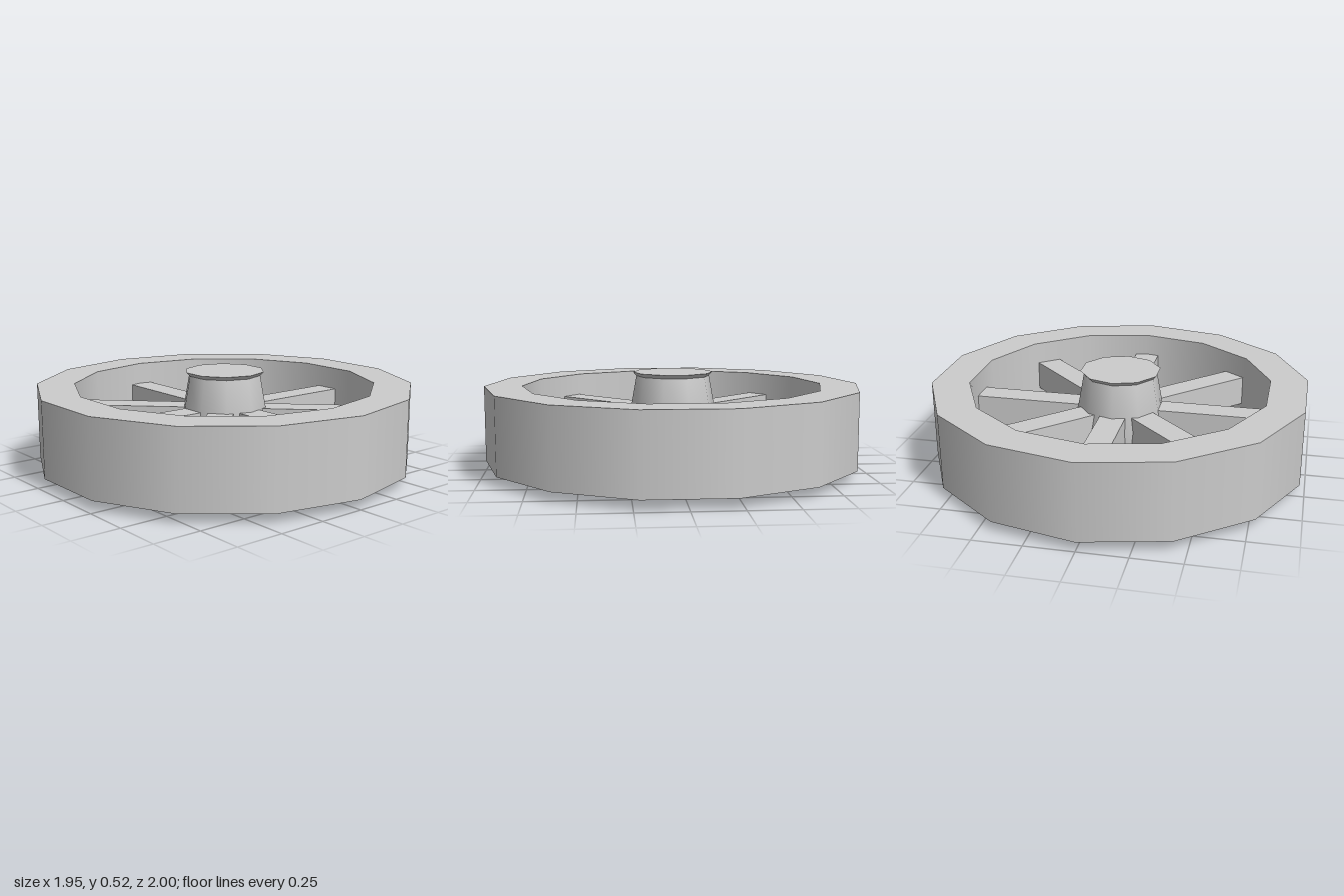
import * as THREE from 'three';

const material = new THREE.MeshStandardMaterial({ color: 0xcccccc, side: THREE.DoubleSide });

// Surface of revolution from [radius, height] pairs
function turned(name, sides, profile) {
  const points = profile.map(([r, y]) => new THREE.Vector2(r, y));
  const mesh = new THREE.Mesh(new THREE.LatheGeometry(points, sides), material);
  mesh.name = name;
  return mesh;
}

// Box without its underside, running outwards along +x
function spokeGeometry(start, end, bottom, top, width) {
  const geometry = new THREE.BoxGeometry(end - start, top - bottom, width);
  geometry.translate((start + end) / 2, (top + bottom) / 2, 0);
  const index = Array.from(geometry.index.array);
  index.splice(18, 6); // drop the bottom face
  geometry.setIndex(index);
  return geometry;
}

export function createModel() {
  const wheel = new THREE.Group();
  wheel.name = 'wheel';

  // Hollow rim, open underneath
  const rim = new THREE.Group();
  rim.name = 'rim';
  rim.add(
    turned('rimOuterWall', 14, [[1, 0.05], [1, 0.45]]),
    turned('rimTop', 14, [[1, 0.45], [0.8, 0.45]]),
    turned('rimInnerWall', 14, [[0.8, 0.45], [0.8, 0.05]])
  );

  // Hub swelling at mid height, with a flared lip and a flat cap
  const hub = new THREE.Group();
  hub.name = 'hub';
  hub.add(
    turned('hubBody', 10, [[0.2, 0], [0.24, 0.25], [0.195, 0.5]]),
    turned('hubLip', 10, [[0.195, 0.5], [0.213, 0.52]]),
    turned('hubCap', 10, [[0.213, 0.52], [0, 0.52]])
  );

  // Eight spokes
  const spokes = new THREE.Group();
  spokes.name = 'spokes';
  const geometry = spokeGeometry(0.2, 0.805, 0.17, 0.33, 0.135);
  for (let i = 0; i < 8; i++) {
    const spoke = new THREE.Mesh(geometry, material);
    spoke.name = 'spoke';
    spoke.rotation.y = (i * Math.PI) / 4;
    spokes.add(spoke);
  }

  wheel.add(rim, hub, spokes);
  return wheel;
}
